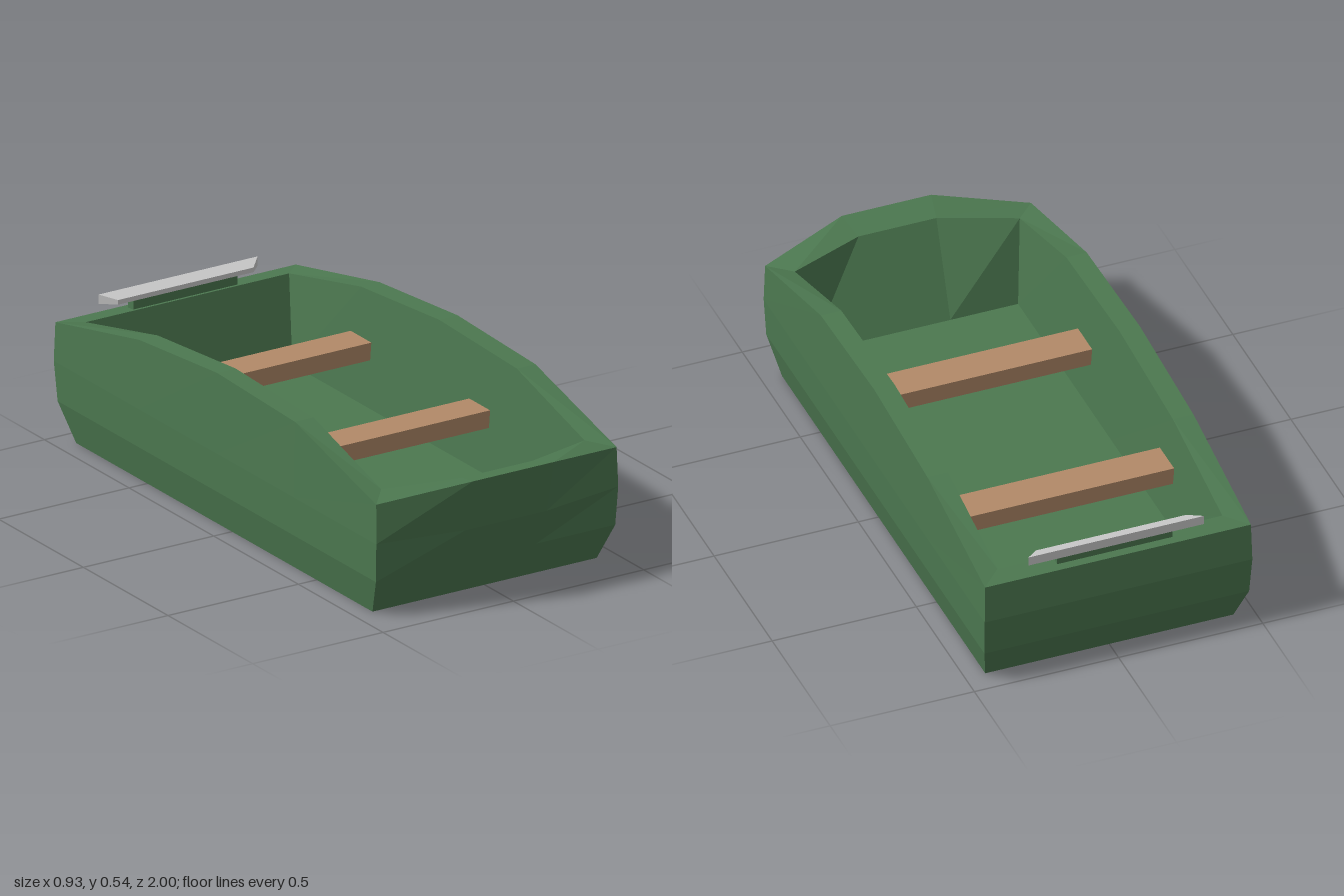
import * as THREE from 'three';

const paint = (color) => new THREE.MeshStandardMaterial({ color, flatShading: true });

// Non-indexed geometry from four-cornered faces, corners counterclockwise seen from outside
function fromQuads(quads) {
  const pos = quads.flatMap(([a, b, c, d]) => [a, b, c, a, c, d].flat());
  const geo = new THREE.BufferGeometry();
  geo.setAttribute('position', new THREE.Float32BufferAttribute(pos, 3));
  geo.computeVertexNormals();
  return geo;
}

function add(group, name, geo, material, x = 0, y = 0, z = 0) {
  const mesh = new THREE.Mesh(geo, material);
  mesh.name = name;
  mesh.position.set(x, y, z);
  group.add(mesh);
  return mesh;
}

// One closed hull outline: bow, corner, three side stations, stern, then mirrored
// heights = [bow, corner, station, station, station, stern]
function ring(x, stern, corner, bowX, bow, heights) {
  const xs = [bowX, x, x, x, x, x];
  const zs = [bow, corner, 0.42, -0.04, -0.5, stern];
  const half = xs.map((px, i) => [px, heights[i], zs[i]]);
  return [...half, ...half.map(([px, y, z]) => [-px, y, z]).reverse()];
}

function hullGeometry() {
  const level = (y) => Array(6).fill(y);
  const rings = [
    ring(0.43, -0.92, 0.83, 0.155, 0.83, level(0)),
    ring(0.459, -0.985, 0.895, 0.155, 0.895, level(0.13)),
    ring(0.464, -1.0, 0.905, 0.155, 0.957, level(0.265)),
    ring(0.461, -0.995, 0.9, 0.155, 1.0, [0.448, 0.4, 0.527, 0.543, 0.504, 0.4]), // outer rim
    ring(0.39, -0.925, 0.82, 0.135, 0.905, [0.425, 0.412, 0.527, 0.543, 0.504, 0.408]), // inner rim
    ring(0.36, -0.86, 0.76, 0.125, 0.76, level(0.12)), // floor
  ];
  const quads = [];
  for (let r = 0; r < rings.length - 1; r++) {
    const a = rings[r], b = rings[r + 1];
    a.forEach((p, i) => {
      const j = (i + 1) % a.length;
      quads.push([p, a[j], b[j], b[i]]);
    });
  }
  // Flat underside and floor
  const cap = (loop) => [1, 5, 6, 10].map((i) => loop[i]);
  quads.push(cap(rings[0]).reverse(), cap(rings[5]));
  return fromQuads(quads);
}

// Tapered plate, wider and thicker toward the stern
function plateGeometry() {
  const face = (x, y0, y1, z) => [[-x, y0, z], [x, y0, z], [x, y1, z], [-x, y1, z]];
  const front = face(0.26, 0.437, 0.453, -0.935);
  const back = face(0.305, 0.435, 0.467, -0.98);
  const quads = [front, [...back].reverse()];
  for (let i = 0; i < 4; i++) {
    const j = (i + 1) % 4;
    quads.push([front[j], front[i], back[i], back[j]]);
  }
  return fromQuads(quads);
}

export function createModel() {
  const boat = new THREE.Group();
  boat.name = 'rowingBoat';
  const green = paint(0x4c7850), wood = paint(0xb28a68), grey = paint(0xcccccc);

  add(boat, 'hull', hullGeometry(), green);

  // Two seats spanning the sides
  [0.222, -0.48].forEach((z, i) => {
    add(boat, i ? 'rearBench' : 'frontBench', new THREE.BoxGeometry(0.755, 0.06, 0.123), wood, 0, 0.31, z);
  });

  // Mounting plate on the stern
  add(boat, 'sternPlateSupport', new THREE.BoxGeometry(0.4, 0.06, 0.03), green, 0, 0.418, -0.952);
  add(boat, 'sternPlate', plateGeometry(), grey);

  return boat;
}
